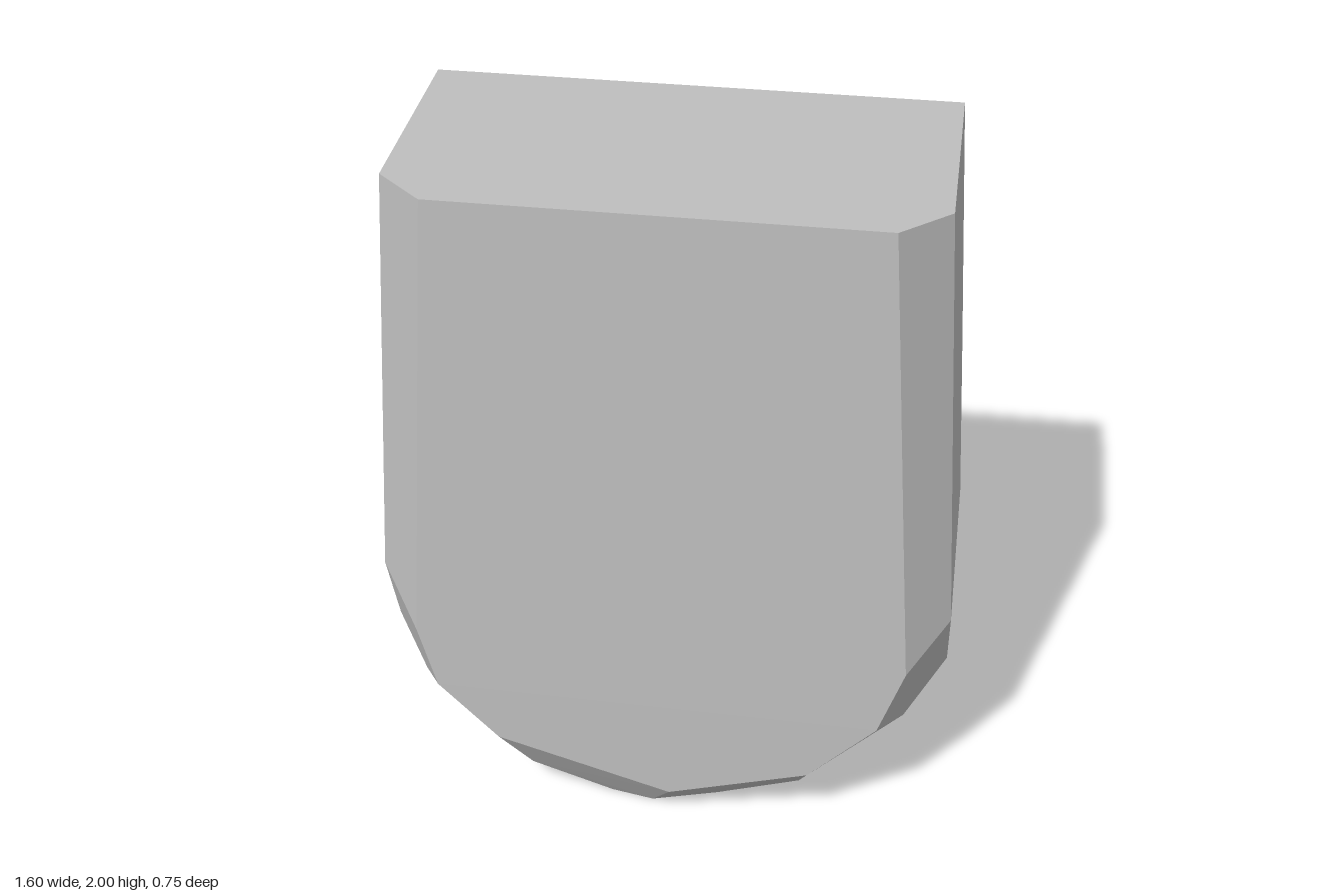
import * as THREE from 'three';
import { ConvexGeometry } from 'three/addons/geometries/ConvexGeometry.js';

export function createModel() {
  const model = new THREE.Group();
  model.name = 'facetedBlock';
  const lightGrey = new THREE.MeshStandardMaterial({ color: 0xbfbfbf });
  lightGrey.name = 'lightGrey';

  // Corners of the flat front face, listed as x, y
  const frontZ = 0.375;
  const front = [
    [-0.59, 2], [0.59, 2], [0.69, 0.63], [0.62, 0.42], [0.43, 0.225],
    [0.03, 0.105], [-0.47, 0.255], [-0.64, 0.435], [-0.69, 0.63],
  ].map(([x, y]) => [x, y, frontZ]);

  // Inner ends of the bevels around the front face
  const frontBevel = [
    [0.72, 2, 0.255], [0.8, 0.75, 0.265], [0.8, 0.51, 0.135], [0.69, 0.38, 0.25],
    [0.48, 0.135, 0.21], [0.4, 0.1, 0.265], [0.155, 0, 0.245], [-0.03, 0, 0.3],
    [-0.155, 0, 0.277], [-0.39, 0.1, 0.297], [-0.48, 0.135, 0.233],
    [-0.7, 0.4, 0.268], [-0.8, 0.51, 0.157], [-0.8, 0.77, 0.26], [-0.72, 2, 0.255],
  ];

  // Upright upper back, ending in a slanting fold
  const upperBack = [
    [0.72, 2], [-0.72, 2], [-0.767, 1.25], [0.45, 0.77], [0.767, 1.28],
  ].map(([x, y]) => [x, y, -0.375]);

  // Lower back, leaning inwards to the rounded foot
  const lowerBack = [
    [0.8, 0.78, -0.318], [0.8, 0.51, -0.286], [0.48, 0.135, -0.302],
    [0.39, 0.1, -0.313], [0.155, 0, -0.297], [-0.155, 0, -0.283],
    [-0.48, 0.135, -0.283], [-0.8, 0.51, -0.305], [-0.8, 0.78, -0.331],
  ];

  const corners = [...front, ...frontBevel, ...upperBack, ...lowerBack]
    .map((p) => new THREE.Vector3(...p));
  const body = new THREE.Mesh(new ConvexGeometry(corners), lightGrey);
  body.name = 'body';
  model.add(body);
  return model;
}
